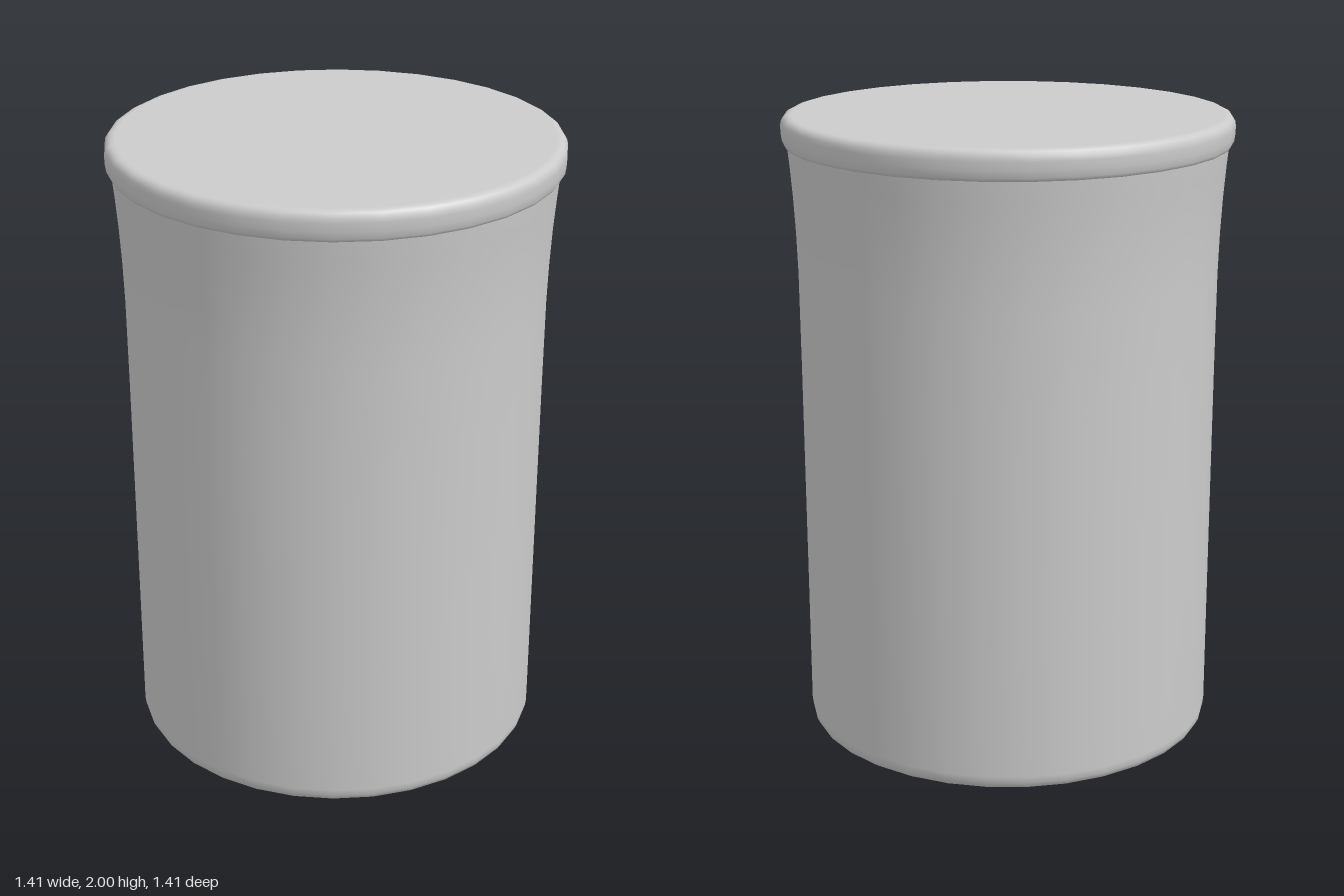
import * as THREE from 'three';

const SIDES = 32;

export function createModel() {
  const group = new THREE.Group();
  group.name = 'canister';
  const material = new THREE.MeshStandardMaterial({ color: 0xcccccc });

  // Turned part from [radius, height] points, listed bottom to top
  const turned = (name, profile) => {
    const points = profile.map(([r, y]) => new THREE.Vector2(r, y));
    const mesh = new THREE.Mesh(new THREE.LatheGeometry(points, SIDES), material);
    mesh.name = name;
    group.add(mesh);
  };

  // Straight body with a rounded foot, flaring out below the lid
  turned('body', [
    [0, 0], [0.615, 0], [0.63, 0.003], [0.645, 0.012], [0.653, 0.028], [0.656, 0.05],
    [0.657, 0.5], [0.659, 1.2], [0.661, 1.5], [0.665, 1.63], [0.671, 1.74],
    [0.679, 1.84], [0.685, 1.9], [0.686, 1.93],
  ]);

  // Flat lid with a softly rounded rim
  turned('lid', [
    [0, 1.905], [0.682, 1.905], [0.693, 1.908], [0.7, 1.918], [0.703, 1.94], [0.704, 1.965],
    [0.702, 1.98], [0.695, 1.992], [0.684, 1.998], [0.67, 2], [0, 2],
  ]);

  return group;
}
